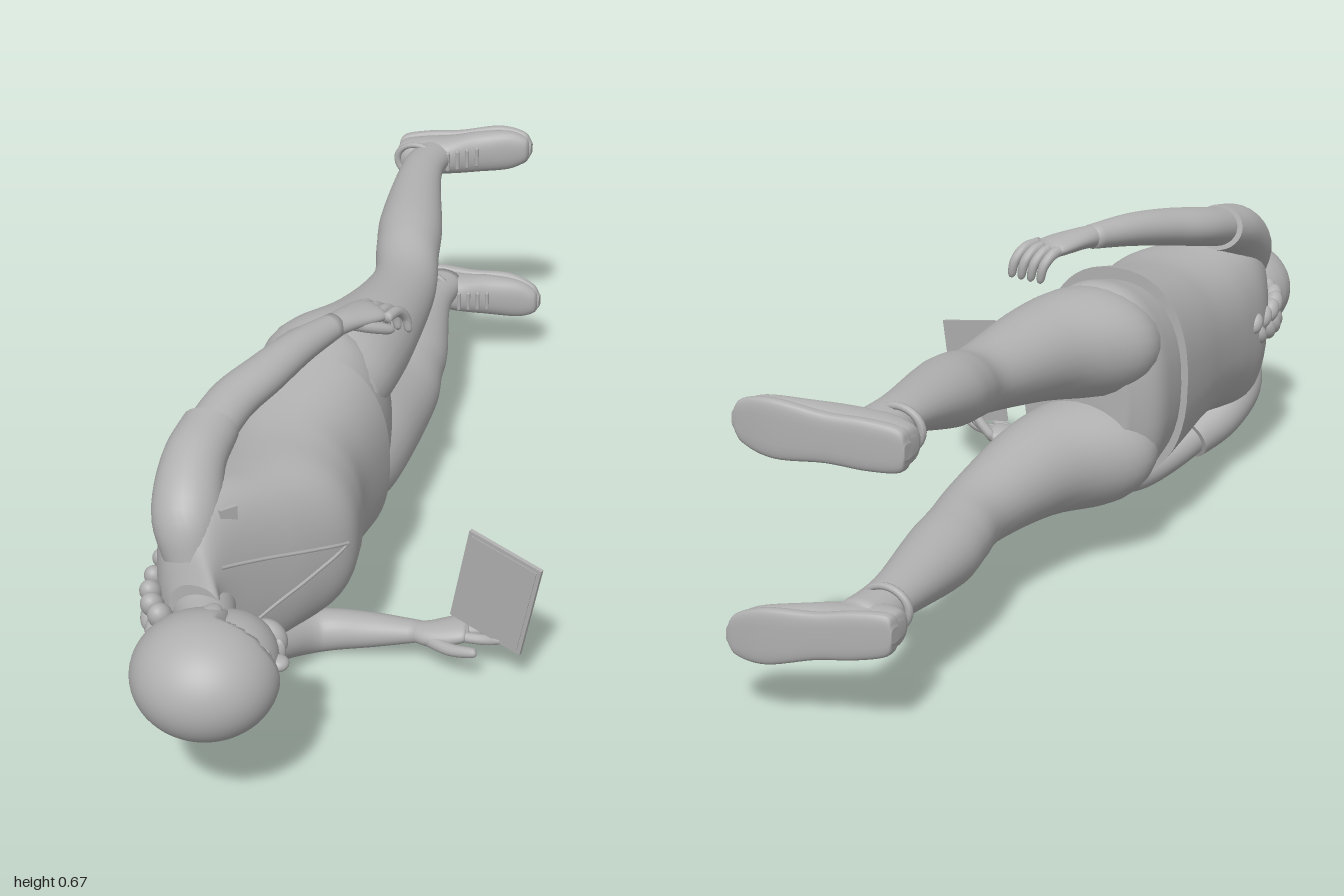
import * as THREE from 'three';

const grey = new THREE.MeshStandardMaterial({ color: 0xb0b0b0 });
grey.name = 'plain grey';

const V = (x, y, z) => new THREE.Vector3(x, y, z);

// Smooth loft through sections [x, y, z, radiusSide, radiusUp]
function loft(sections, { up = V(0, 1, 0), axis = null, power = 2, sides = 28, steps = 6, sharpEnds = false } = {}) {
  const centres = new THREE.CatmullRomCurve3(sections.map(s => V(s[0], s[1], s[2])), false, 'catmullrom', 0.5);
  const radii = new THREE.CatmullRomCurve3(sections.map(s => V(s[3], s[4] ?? s[3], 0)), false, 'catmullrom', 0.5);
  const rows = (sections.length - 1) * steps;
  const pos = [], index = [];
  const bend = v => Math.sign(v) * Math.pow(Math.abs(v), 2 / power);
  const ring = k => {
    const c = centres.getPoint(k / rows), r = radii.getPoint(k / rows);
    const t = axis ? axis.clone() : centres.getTangent(k / rows);
    const side = up.clone().cross(t).normalize();
    const top = t.clone().cross(side);
    for (let i = 0; i < sides; i++) {
      const a = i / sides * Math.PI * 2;
      const p = c.clone().addScaledVector(side, bend(Math.cos(a)) * Math.max(r.x, 0.001))
        .addScaledVector(top, bend(Math.sin(a)) * Math.max(r.y, 0.001));
      pos.push(p.x, p.y, p.z);
    }
  };
  for (let k = 0; k <= rows; k++) ring(k);
  for (let k = 0; k < rows; k++) for (let i = 0; i < sides; i++) {
    const a = k * sides + i, b = k * sides + (i + 1) % sides;
    index.push(a, b, a + sides, b, b + sides, a + sides);
  }
  for (const k of [0, rows]) {
    let base = k * sides;
    if (sharpEnds) { base = pos.length / 3; ring(k); }
    const m = pos.length / 3, c = centres.getPoint(k / rows);
    pos.push(c.x, c.y, c.z);
    for (let i = 0; i < sides; i++) {
      const a = base + i, b = base + (i + 1) % sides;
      if (k) index.push(m, a, b); else index.push(m, b, a);
    }
  }
  const g = new THREE.BufferGeometry();
  g.setAttribute('position', new THREE.Float32BufferAttribute(pos, 3));
  g.setIndex(index);
  g.computeVertexNormals();
  return g;
}

export function createModel() {
  const group = new THREE.Group();
  const add = (name, geometry) => {
    const m = new THREE.Mesh(geometry, grey);
    m.name = name;
    group.add(m);
    return m;
  };
  const ball = (name, x, y, z, rx, ry, rz) => add(name, new THREE.SphereGeometry(1, 32, 20).scale(rx, ry, rz).translate(x, y, z));

  // Shirt, lofted from hem to collar along z
  const shirt = add('shirt', loft([
    [-0.19, 0.353, 0.115, 0.168, 0.225], [-0.185, 0.35, 0.25, 0.16, 0.2], [-0.17, 0.348, 0.34, 0.165, 0.19],
    [-0.165, 0.348, 0.42, 0.166, 0.19], [-0.188, 0.348, 0.5, 0.143, 0.195], [-0.215, 0.348, 0.58, 0.113, 0.203],
    [-0.225, 0.346, 0.65, 0.08, 0.192], [-0.22, 0.34, 0.69, 0.062, 0.14], [-0.2, 0.335, 0.715, 0.055, 0.075],
  ], { axis: V(0, 0, 1), power: 2.35, sides: 48, sharpEnds: true }));

  // Collar seams, buttons and chest badges laid on the shirt front
  const ray = new THREE.Raycaster();
  const onChest = (y, z) => {
    ray.set(V(1, y, z), V(-1, 0, 0));
    const hit = ray.intersectObject(shirt)[0];
    return hit ? hit.point : V(-0.15, y, z);
  };
  for (const y0 of [0.43, 0.245]) {
    const pts = [];
    for (let i = 0; i <= 8; i++) pts.push(onChest(y0 + (0.36 - y0) * i / 8, 0.675 - 0.245 * i / 8));
    add('collarSeam', new THREE.TubeGeometry(new THREE.CatmullRomCurve3(pts), 24, 0.004, 6));
  }
  for (const y of [0.515, 0.19]) {
    const p = onChest(y, 0.625);
    const clip = new THREE.BoxGeometry(0.008, 0.032, 0.035);
    clip.rotateY(-0.7);
    clip.translate(p.x, p.y, p.z);
    add('chestBadge', clip);
  }

  // Hips and legs
  add('hips', loft([
    [-0.19, 0.35, 0.2, 0.14, 0.18], [-0.2, 0.35, 0.08, 0.148, 0.212], [-0.205, 0.348, 0, 0.145, 0.226],
    [-0.19, 0.348, -0.06, 0.115, 0.18],
  ], { axis: V(0, 0, -1), power: 2.3, sides: 40 }));
  add('rightLeg', loft([
    [-0.2, 0.45, 0.06, 0.13, 0.1], [-0.2, 0.464, -0.04, 0.143, 0.112], [-0.162, 0.47, -0.18, 0.102, 0.094],
    [-0.154, 0.478, -0.38, 0.074, 0.065], [-0.182, 0.505, -0.5, 0.073, 0.066], [-0.205, 0.523, -0.6, 0.073, 0.063],
    [-0.245, 0.557, -0.8, 0.05, 0.038], [-0.245, 0.557, -0.92, 0.047, 0.035],
  ], { axis: V(0, 0, -1) }));
  add('leftLeg', loft([
    [-0.2, 0.246, 0.06, 0.13, 0.1], [-0.2, 0.232, -0.04, 0.143, 0.112], [-0.16, 0.228, -0.18, 0.102, 0.097],
    [-0.148, 0.211, -0.38, 0.074, 0.07], [-0.172, 0.207, -0.5, 0.073, 0.065], [-0.19, 0.204, -0.6, 0.073, 0.064],
    [-0.222, 0.212, -0.8, 0.05, 0.041], [-0.222, 0.212, -0.92, 0.047, 0.036],
  ], { axis: V(0, 0, -1) }));

  // Shoes: upper, sole, ankle cuff and laces
  const shoe = (side, dx, heelY, toeY) => {
    const yAt = x => heelY + (toeY - heelY) * (x + 0.32) / 0.31;
    const at = rows => rows.map(([x, z, rz, ry]) => [x + dx, yAt(x), z, rz, ry]);
    add(side + 'Shoe', loft(at([
      [-0.305, -0.908, 0.02, 0.015], [-0.295, -0.908, 0.036, 0.034], [-0.25, -0.908, 0.046, 0.042],
      [-0.18, -0.922, 0.048, 0.044], [-0.12, -0.947, 0.037, 0.049], [-0.05, -0.966, 0.026, 0.047],
      [-0.012, -0.972, 0.016, 0.03], [-0.004, -0.973, 0.006, 0.012],
    ]), { axis: V(1, 0, 0), power: 2.3 }));
    add(side + 'Sole', loft(at([
      [-0.31, -0.93, 0.013, 0.014], [-0.298, -0.932, 0.015, 0.038], [-0.24, -0.946, 0.015, 0.045],
      [-0.17, -0.962, 0.014, 0.044], [-0.08, -0.981, 0.013, 0.053], [-0.02, -0.984, 0.011, 0.04],
      [0, -0.983, 0.009, 0.014],
    ]), { axis: V(1, 0, 0), power: 3.5, sharpEnds: true }));
    const cuff = new THREE.TorusGeometry(0.047, 0.008, 8, 28).scale(1, 0.83, 1);
    add(side + 'Cuff', cuff.translate(-0.248 + dx, heelY + 0.01, -0.862));
    for (let i = 0; i < 4; i++) {
      const x = -0.175 + i * 0.02;
      const lace = new THREE.CapsuleGeometry(0.005, 0.04, 4, 8);
      add(side + 'Lace', lace.translate(x + dx, yAt(x), -0.875 - i * 0.0125));
    }
  };
  shoe('right', -0.028, 0.545, 0.567);
  shoe('left', 0.003, 0.21, 0.165);

  // Right arm hanging beside the body
  add('rightSleeve', loft([
    [-0.23, 0.43, 0.66, 0.05, 0.05], [-0.245, 0.505, 0.63, 0.066, 0.062], [-0.262, 0.565, 0.55, 0.061, 0.055],
    [-0.262, 0.592, 0.46, 0.056, 0.049],
  ], { sharpEnds: true }));
  add('rightArm', loft([
    [-0.262, 0.575, 0.54, 0.048, 0.042], [-0.25, 0.606, 0.4, 0.049, 0.041], [-0.215, 0.624, 0.3, 0.045, 0.039],
    [-0.18, 0.637, 0.2, 0.037, 0.034], [-0.14, 0.64, 0.1, 0.027, 0.025],
  ]));
  add('rightPalm', loft([
    [-0.143, 0.64, 0.11, 0.025, 0.023], [-0.125, 0.64, 0.07, 0.034, 0.021], [-0.098, 0.634, 0.015, 0.044, 0.018],
    [-0.09, 0.628, 0, 0.03, 0.01],
  ]));
  for (let i = 0; i < 4; i++) {
    const x = -0.128 + i * 0.024, z = 0.005 + i * 0.004;
    add('rightFinger', loft([
      [x, 0.633, z + 0.015, 0.011], [x + 0.01, 0.63, z - 0.025, 0.011], [x + 0.02, 0.608, z - 0.048, 0.01],
      [x + 0.026, 0.58, z - 0.05, 0.008], [x + 0.027, 0.572, z - 0.049, 0.002],
    ], { up: V(1, 0, 0), sides: 12, steps: 4 }));
  }
  add('rightThumb', loft([
    [-0.12, 0.635, 0.075, 0.014], [-0.08, 0.622, 0.055, 0.013], [-0.05, 0.608, 0.03, 0.01], [-0.042, 0.603, 0.022, 0.002],
  ], { sides: 12, steps: 4 }));

  // Left arm bent forward
  add('leftSleeve', loft([
    [-0.225, 0.26, 0.66, 0.05, 0.05], [-0.235, 0.185, 0.63, 0.064, 0.062], [-0.225, 0.13, 0.55, 0.062, 0.056],
    [-0.198, 0.098, 0.465, 0.057, 0.05],
  ], { sharpEnds: true }));
  add('leftArm', loft([
    [-0.215, 0.12, 0.53, 0.048, 0.044], [-0.175, 0.077, 0.41, 0.048, 0.044], [-0.135, 0.052, 0.335, 0.044, 0.046],
    [-0.085, 0.05, 0.305, 0.042, 0.044], [0, 0.064, 0.3, 0.037, 0.035], [0.1, 0.082, 0.3, 0.025, 0.021],
  ]));
  add('leftPalm', loft([
    [0.09, 0.08, 0.3, 0.024, 0.02], [0.13, 0.084, 0.3, 0.035, 0.023], [0.185, 0.097, 0.285, 0.04, 0.02],
    [0.2, 0.1, 0.282, 0.025, 0.01],
  ]));
  const tips = [[0.27, 0.108, 0.315], [0.27, 0.126, 0.285], [0.258, 0.16, 0.272], [0.235, 0.18, 0.262]];
  tips.forEach(([x, y, z], i) => {
    const base = V(0.18, 0.095, 0.31 - i * 0.018), tip = V(x, y, z);
    const mid = base.clone().lerp(tip, 0.55).add(V(0.006, -0.006, -0.006));
    const end = tip.clone().add(tip.clone().sub(mid).multiplyScalar(0.15));
    add('leftFinger', loft([[...base, 0.011], [...mid, 0.011], [...tip, 0.008], [...end, 0.002]],
      { up: V(0, 0, 1), sides: 12, steps: 4 }));
  });
  add('leftThumb', loft([
    [0.125, 0.08, 0.32, 0.014], [0.175, 0.083, 0.342, 0.013], [0.225, 0.093, 0.352, 0.01], [0.234, 0.095, 0.353, 0.002],
  ], { up: V(0, 0, 1), sides: 12, steps: 4 }));

  // Tablet held upright
  const across = V(0.157, -0.035, 0.045), down = V(-0.043, -0.223, -0.02);
  const u = across.clone().normalize(), n = across.clone().cross(down).normalize();
  const v = n.clone().cross(u);
  const slab = (name, w, h, d, off) => {
    const m = add(name, new THREE.BoxGeometry(w, h, d));
    m.quaternion.setFromRotationMatrix(new THREE.Matrix4().makeBasis(u, v, n));
    m.position.set(0.261, 0.224, 0.318).addScaledVector(n, off);
  };
  slab('tablet', across.length(), down.length(), 0.008, 0);
  slab('tabletScreen', across.length() * 0.9, down.length() * 0.92, 0.002, -0.0045);

  // Neck, face and ears
  add('neck', loft([[-0.21, 0.335, 0.66, 0.062, 0.064], [-0.175, 0.335, 0.73, 0.055, 0.056], [-0.14, 0.335, 0.82, 0.056, 0.057]]));
  ball('face', -0.103, 0.335, 0.815, 0.095, 0.084, 0.108);
  ball('chin', -0.055, 0.335, 0.735, 0.04, 0.042, 0.03);
  ball('nose', -0.01, 0.335, 0.795, 0.02, 0.014, 0.02);
  ball('lips', -0.022, 0.335, 0.757, 0.012, 0.024, 0.009);
  for (const s of [-1, 1]) {
    ball('eye', -0.021, 0.335 + s * 0.034, 0.825, 0.01, 0.015, 0.01);
    ball('ear', -0.13, 0.335 + s * 0.092, 0.81, 0.02, 0.012, 0.03);
  }

  // Hair cap, scooped inward where the face shows
  const hair = new THREE.SphereGeometry(1, 64, 48);
  const p = hair.attributes.position;
  for (let i = 0; i < p.count; i++) {
    const q = V(p.getX(i), p.getY(i), p.getZ(i));
    const open = THREE.MathUtils.smoothstep(q.x, 0.05, 0.35) * THREE.MathUtils.smoothstep(-q.z, 0.2, 0.32);
    q.multiplyScalar(1 - 0.35 * open);
    p.setXYZ(i, -0.123 + q.x * 0.136, 0.335 + q.y * 0.114, 0.865 + q.z * 0.13);
  }
  hair.computeVertexNormals();
  add('hair', hair);

  // Braid: two strands of overlapping lobes down the back
  const braid = new THREE.CatmullRomCurve3([V(-0.235, 0.345, 0.78), V(-0.285, 0.345, 0.725), V(-0.312, 0.345, 0.64), V(-0.325, 0.35, 0.53)]);
  for (let i = 0; i < 12; i++) {
    const c = braid.getPoint(i / 11), s = i % 2 ? 1 : -1, k = 1 - i * 0.025;
    const lobe = new THREE.SphereGeometry(1, 20, 14).scale(0.024 * k, 0.034 * k, 0.024 * k).rotateX(s * 0.6);
    add('braidLobe', lobe.translate(c.x, c.y + s * 0.022 * k, c.z));
  }

  return group;
}
